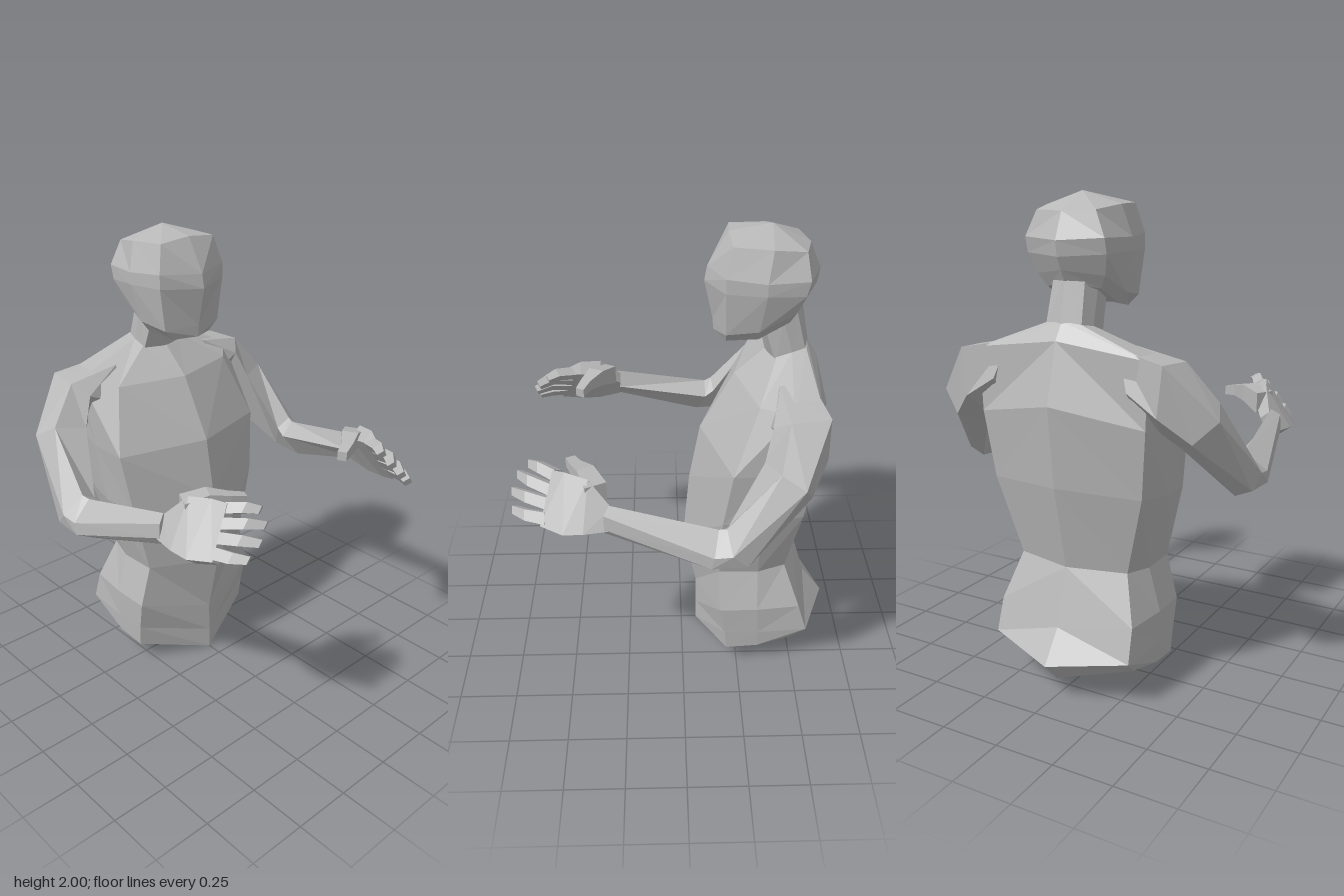
import * as THREE from 'three';

const grey = new THREE.MeshStandardMaterial({ color: 0xb8b8b8 });
grey.name = 'plain grey';

const centroid = (ring) =>
  ring.reduce((a, p) => a.map((v, i) => v + p[i] / ring.length), [0, 0, 0]);

// Faceted closed skin through rings of equal point count, capped by fans.
function loft(name, rings, startTip, endTip) {
  const n = rings[0].length;
  const tris = [];
  for (let r = 0; r < rings.length - 1; r++) {
    for (let i = 0; i < n; i++) {
      const j = (i + 1) % n;
      const [a, b, c, d] = [rings[r][i], rings[r][j], rings[r + 1][j], rings[r + 1][i]];
      // mirrored diagonals on the two halves
      if (i < n / 2) tris.push([a, b, c], [a, c, d]);
      else tris.push([a, b, d], [b, c, d]);
    }
  }
  const first = rings[0], last = rings[rings.length - 1];
  const s = startTip || centroid(first), e = endTip || centroid(last);
  for (let i = 0; i < n; i++) {
    const j = (i + 1) % n;
    tris.push([s, first[j], first[i]], [e, last[i], last[j]]);
  }
  // Signed volume decides the winding, so mirrored parts also face outward
  let volume = 0;
  const [A, B, C] = [0, 1, 2].map(() => new THREE.Vector3());
  for (const [a, b, c] of tris) volume += A.set(...a).dot(B.set(...b).cross(C.set(...c)));
  const pos = [];
  for (const [a, b, c] of tris) pos.push(...a, ...(volume > 0 ? b : c), ...(volume > 0 ? c : b));
  const geo = new THREE.BufferGeometry();
  geo.setAttribute('position', new THREE.Float32BufferAttribute(pos, 3));
  geo.computeVertexNormals();
  const mesh = new THREE.Mesh(geo, grey);
  mesh.name = name;
  return mesh;
}

// Half ring (front centre to back centre) completed by mirroring in x
const whole = (half) => [...half, ...half.slice(1, -1).reverse().map(([x, y, z]) => [-x, y, z])];

// Square-section stick along points, with half-width axes u and v
function stick(name, points, sizes, u, v, side) {
  const corners = [[1, 1], [1, -1], [-1, -1], [-1, 1]];
  return loft(name, points.map((p, k) => corners.map(([a, b]) =>
    p.map((c, i) => (c + (a * u[i] + b * v[i]) * sizes[k]) * (i === 0 ? side : 1)))));
}

// Rings run front centre, front corner, side, back corner, back centre
const torsoRings = [
  [[0, 0.0, -0.07], [0.32, 0.10, -0.2], [0.325, 0.115, -0.34], [0.3, 0.14, -0.49], [0, 0.075, -0.59]],
  [[0, 0.10, -0.07], [0.325, 0.20, -0.19], [0.33, 0.20, -0.34], [0.315, 0.20, -0.56], [0, 0.165, -0.675]],
  [[0, 0.24, -0.07], [0.33, 0.335, -0.165], [0.335, 0.34, -0.33], [0.31, 0.335, -0.52], [0, 0.295, -0.58]],
  [[0, 0.52, -0.01], [0.28, 0.52, -0.16], [0.285, 0.52, -0.33], [0.25, 0.53, -0.45], [0, 0.53, -0.51]],
  [[0, 0.84, -0.035], [0.35, 0.83, -0.165], [0.37, 0.84, -0.33], [0.34, 0.86, -0.5], [0, 0.88, -0.585]],
  [[0, 1.10, -0.08], [0.385, 1.09, -0.2], [0.395, 1.10, -0.36], [0.37, 1.14, -0.53], [0, 1.21, -0.62]],
  [[0, 1.36, -0.22], [0.3, 1.36, -0.3], [0.41, 1.39, -0.42], [0.38, 1.40, -0.53], [0, 1.45, -0.555]],
  [[0, 1.48, -0.35], [0.1, 1.48, -0.38], [0.1, 1.50, -0.44], [0.08, 1.51, -0.5], [0, 1.52, -0.51]],
];
const neckRings = [
  [[0, 1.44, -0.35], [0.1, 1.45, -0.38], [0.1, 1.47, -0.45], [0.08, 1.49, -0.5], [0, 1.49, -0.52]],
  [[0, 1.60, -0.31], [0.09, 1.60, -0.33], [0.095, 1.64, -0.4], [0.07, 1.69, -0.45], [0, 1.70, -0.48]],
];
const headRings = [
  [[0, 1.56, -0.13], [0.1, 1.555, -0.175], [0.13, 1.575, -0.3], [0.12, 1.64, -0.42], [0, 1.665, -0.485]],
  [[0, 1.61, -0.125], [0.145, 1.60, -0.17], [0.165, 1.62, -0.3], [0.15, 1.69, -0.44], [0, 1.71, -0.51]],
  [[0, 1.77, -0.09], [0.17, 1.78, -0.165], [0.2, 1.78, -0.32], [0.175, 1.77, -0.47], [0, 1.76, -0.535]],
  [[0, 1.83, -0.1], [0.17, 1.84, -0.165], [0.2, 1.83, -0.32], [0.175, 1.83, -0.485], [0, 1.82, -0.545]],
  [[0, 1.97, -0.18], [0.14, 1.955, -0.19], [0.165, 1.95, -0.34], [0.13, 1.93, -0.47], [0, 1.925, -0.5]],
];
// Rings run top front, top back, outer back, underside, inner front
const armRings = [
  [[0.25, 1.43, -0.38], [0.25, 1.43, -0.51], [0.3, 1.28, -0.55], [0.3, 1.15, -0.45], [0.28, 1.28, -0.33]],
  [[0.47, 1.39, -0.4], [0.45, 1.395, -0.555], [0.43, 1.20, -0.56], [0.4, 1.12, -0.46], [0.42, 1.34, -0.34]],
  [[0.59, 1.24, -0.36], [0.63, 1.19, -0.45], [0.54, 1.10, -0.49], [0.45, 1.06, -0.4], [0.47, 1.22, -0.31]],
  [[0.61, 1.01, -0.16], [0.695, 0.94, -0.18], [0.68, 0.88, -0.24], [0.61, 0.85, -0.24], [0.545, 0.97, -0.17]],
  [[0.6, 1.00, -0.13], [0.69, 0.93, -0.11], [0.69, 0.88, -0.1], [0.61, 0.84, -0.09], [0.54, 0.94, -0.13]],
  [[0.55, 1.085, 0.29], [0.585, 1.06, 0.31], [0.59, 1.00, 0.31], [0.565, 0.965, 0.31], [0.525, 1.01, 0.28]],
];
// Palm stations: index edge, little-finger edge, thickness
const palmStations = [
  [[0.53, 1.06, 0.28], [0.575, 0.98, 0.29], 0.05],
  [[0.47, 1.15, 0.37], [0.58, 0.97, 0.39], 0.075],
  [[0.44, 1.165, 0.46], [0.575, 0.965, 0.47], 0.065],
  [[0.415, 1.16, 0.51], [0.535, 0.98, 0.56], 0.04],
];
// Knuckle, middle joint and tip, index finger first
const fingers = [
  [[0.425, 1.14, 0.49], [0.385, 1.155, 0.56], [0.35, 1.15, 0.605]],
  [[0.455, 1.095, 0.51], [0.415, 1.115, 0.6], [0.365, 1.11, 0.65]],
  [[0.485, 1.05, 0.52], [0.455, 1.065, 0.61], [0.41, 1.06, 0.67]],
  [[0.52, 1.005, 0.53], [0.5, 1.01, 0.61], [0.465, 1.01, 0.665]],
];

function arm(side) {
  const group = new THREE.Group();
  group.name = side > 0 ? 'leftArm' : 'rightArm';
  const flip = ([x, y, z]) => [x * side, y, z];
  group.add(loft('armAndForearm', armRings.map((ring) => ring.map(flip))));

  // Palm turned inward and down; its back faces along (0.8, 0.6)
  group.add(loft('palm', palmStations.map(([i, l, t]) => {
    const shift = (p, k) => flip([p[0] + 0.8 * k * t, p[1] + 0.6 * k * t, p[2]]);
    return [shift(i, 0.4), shift(l, 0.4), shift(l, -0.6), shift(i, -0.6)];
  })));

  for (const path of fingers) {
    group.add(stick('finger', path, [0.024, 0.022, 0.016], [-0.6, 0.8, 0], [0.7, 0.5, 0.5], side));
  }
  group.add(stick('thumb', [[0.5, 1.1, 0.34], [0.41, 1.13, 0.385], [0.34, 1.125, 0.43], [0.28, 1.115, 0.455]],
    [0.045, 0.036, 0.024, 0.02], [0, 1, 0], [0.45, 0, 0.9], side));
  return group;
}

export function createModel() {
  const model = new THREE.Group();
  model.name = 'upperBodyFigure';
  model.add(
    loft('torso', torsoRings.map(whole), [0, 0.035, -0.36]),
    loft('neck', neckRings.map(whole)),
    loft('head', headRings.map(whole), null, [0, 2.0, -0.35]),
    arm(1),
    arm(-1),
  );
  return model;
}
